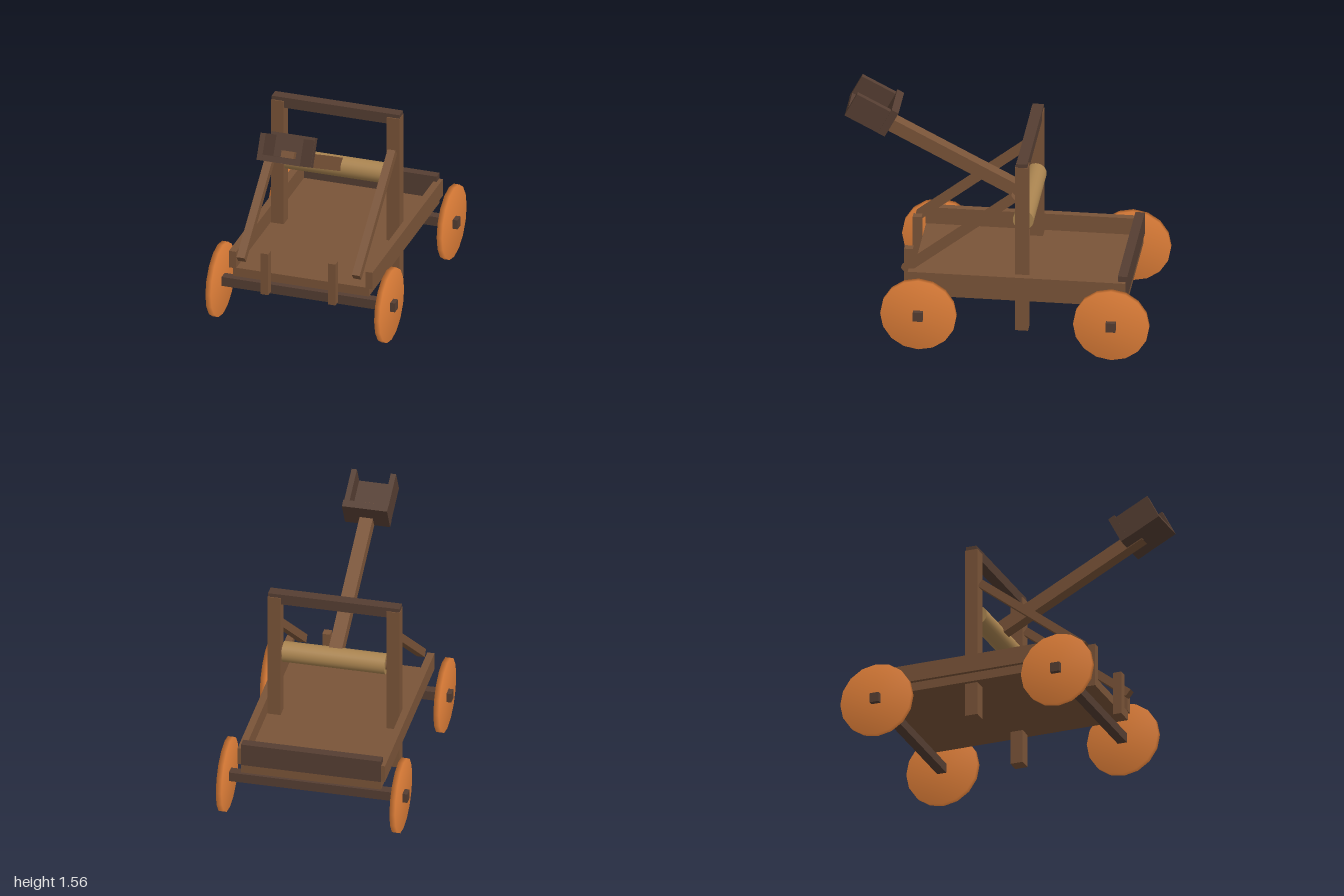
import * as THREE from 'three';
import { mergeVertices } from 'three/addons/utils/BufferGeometryUtils.js';

export function createModel() {
  const model = new THREE.Group();
  model.name = 'catapult';

  const material = (name, color) => {
    const m = new THREE.MeshStandardMaterial({ color });
    m.name = name;
    return m;
  };
  const wood = material('wood', 0x7a5438);
  const darkWood = material('darkWood', 0x553e32);
  const wheelWood = material('wheelWood', 0xe5823a);
  const paleWood = material('paleWood', 0xaa8450);

  const add = (name, geometry, mat, parent = model) => {
    const mesh = new THREE.Mesh(geometry, mat);
    mesh.name = name;
    parent.add(mesh);
    return mesh;
  };
  // Box given by its limits on each axis
  const block = (name, mat, [x0, x1], [y0, y1], [z0, z1], parent) => {
    const g = new THREE.BoxGeometry(x1 - x0, y1 - y0, z1 - z0);
    g.translate((x0 + x1) / 2, (y0 + y1) / 2, (z0 + z1) / 2);
    return add(name, g, mat, parent);
  };
  // The same box on the left (+x) and right (-x)
  const pair = (name, mat, [x0, x1], y, z, parent) => {
    block(name + 'Left', mat, [x0, x1], y, z, parent);
    block(name + 'Right', mat, [-x1, -x0], y, z, parent);
  };

  // Cart bed
  block('deck', wood, [-0.455, 0.455], [0.32, 0.38], [-0.838, 0.55]);
  pair('sideRail', wood, [0.433, 0.48], [0.378, 0.495], [-0.835, 0.555]);
  block('backBoard', darkWood, [-0.455, 0.455], [0.38, 0.532], [-0.845, -0.785]);
  pair('frontStake', wood, [0.2, 0.25], [0.25, 0.54], [0.55, 0.607]);

  // Axles and softly shaded disc wheels
  const wheelShape = new THREE.CylinderGeometry(0.243, 0.243, 0.036, 16);
  wheelShape.deleteAttribute('uv');
  wheelShape.deleteAttribute('normal');
  const wheelGeometry = mergeVertices(wheelShape);
  wheelGeometry.computeVertexNormals();
  wheelGeometry.rotateZ(Math.PI / 2);
  for (const [end, z] of [['front', 0.475], ['back', -0.757]]) {
    block(end + 'Axle', darkWood, [-0.615, 0.615], [0.212, 0.275], [z - 0.031, z + 0.031]);
    for (const [side, s] of [['Left', 1], ['Right', -1]]) {
      add(end + 'Wheel' + side, wheelGeometry, wheelWood).position.set(s * 0.565, 0.243, z);
    }
  }

  // Upright frame
  pair('upright', wood, [0.345, 0.43], [0.097, 1.252], [-0.208, -0.125]);
  block('crossbeam', darkWood, [-0.428, 0.428], [1.205, 1.277], [-0.203, -0.132]);

  // Sloping braces from the uprights to the front of the bed
  const braceTop = new THREE.Vector2(-0.115, 1.02);
  const braceFoot = new THREE.Vector2(0.59, 0.465);
  const run = braceFoot.clone().sub(braceTop);
  for (const [side, s] of [['Left', 1], ['Right', -1]]) {
    const brace = add('brace' + side, new THREE.BoxGeometry(0.053, 0.052, run.length()), wood);
    brace.position.set(s * 0.386, (braceTop.y + braceFoot.y) / 2, (braceTop.x + braceFoot.x) / 2);
    brace.rotation.x = Math.atan2(-run.y, run.x);
  }

  // Turning roller with its spindle
  for (const [name, radius, length, mat] of [['roller', 0.067, 0.67, paleWood], ['spindle', 0.036, 0.72, wood]]) {
    const g = new THREE.CylinderGeometry(radius, radius, length, 24).rotateZ(Math.PI / 2);
    add(name, g, mat).position.set(0, 0.834, -0.166);
  }

  // Throwing arm and bucket, built level and then tilted about the origin
  const arm = new THREE.Group();
  arm.name = 'throwingArm';
  arm.rotation.x = -THREE.MathUtils.degToRad(27.5);
  model.add(arm);
  block('armBeam', wood, [-0.043, 0.043], [0.785, 0.871], [0.266, 1.36], arm);
  block('bucketFloor', darkWood, [-0.112, 0.112], [0.789, 0.827], [1.252, 1.537], arm);
  pair('bucketSide', darkWood, [0.11, 0.145], [0.789, 0.963], [1.252, 1.538], arm);
  block('bucketBack', darkWood, [-0.147, 0.147], [0.789, 0.98], [1.248, 1.297], arm);

  return model;
}
